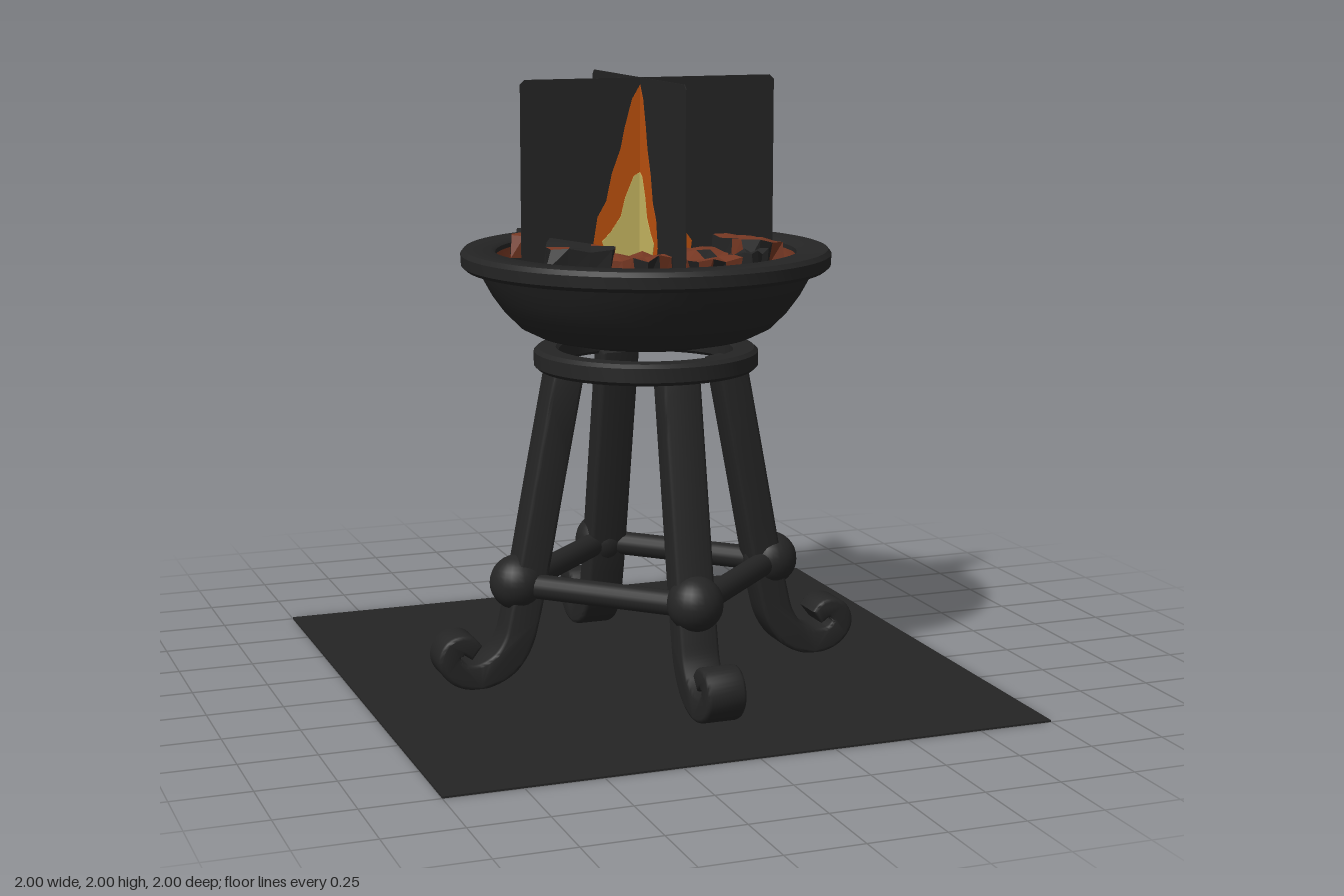
import * as THREE from 'three';
import { toCreasedNormals } from 'three/addons/utils/BufferGeometryUtils.js';

const mat = (name, color) => {
  const m = new THREE.MeshStandardMaterial({ color });
  m.name = name;
  return m;
};

export function createModel() {
  const model = new THREE.Group();
  model.name = 'brazier';
  const iron = mat('black iron', 0x252525);
  const ember = mat('ember brown', 0x773823);
  const orange = mat('flame orange', 0xbd510e);
  const yellow = mat('flame yellow', 0xc8b862);

  const add = (name, geometry, material, parent = model) => {
    const mesh = new THREE.Mesh(geometry, material);
    mesh.name = name;
    parent.add(mesh);
    return mesh;
  };
  const lathe = (pts) => toCreasedNormals(
    new THREE.LatheGeometry(pts.map(([x, y]) => new THREE.Vector2(x, y)), 64), 0.7);

  // Thin square ground plate
  add('basePlate', new THREE.BoxGeometry(2, 0.006, 2), iron).position.y = 0.003;

  // Bowl with thick rounded rim, and its glowing lining
  add('bowl', lathe([
    [0, 1.115], [0.15, 1.118], [0.27, 1.135], [0.36, 1.155], [0.42, 1.185], [0.47, 1.235],
    [0.51, 1.29], [0.54, 1.345], [0.555, 1.375], [0.595, 1.375], [0.61, 1.388], [0.612, 1.425],
    [0.6, 1.44], [0.51, 1.44], [0.497, 1.43], [0.495, 1.41],
  ]), iron);
  add('emberBed', lathe([
    [0.497, 1.425], [0.49, 1.38], [0.46, 1.32], [0.42, 1.29], [0.35, 1.28], [0, 1.28],
  ]), ember);

  // Support ring below the bowl
  add('supportRing', lathe([
    [0.3, 1.04], [0.36, 1.04], [0.373, 1.052], [0.373, 1.098], [0.36, 1.11],
    [0.3, 1.11], [0.29, 1.1], [0.29, 1.05], [0.3, 1.04],
  ]), iron);

  // Leg outline: a centre line (x, y, half thickness) ending in a scroll
  const line = [
    [0.285, 1.06, 0.053], [0.355, 0.7, 0.053], [0.418, 0.37, 0.053], [0.445, 0.24, 0.053],
    [0.472, 0.145, 0.052], [0.52, 0.08, 0.05], [0.6, 0.046, 0.045], [0.672, 0.06, 0.04],
    [0.706, 0.105, 0.038], [0.69, 0.147, 0.036], [0.648, 0.156, 0.034], [0.612, 0.128, 0.028],
  ];
  const curve = new THREE.CatmullRomCurve3(line.map((p) => new THREE.Vector3(...p)));
  const left = [], right = [];
  for (let i = 0; i <= 60; i++) {
    const p = curve.getPoint(i / 60), t = curve.getTangent(i / 60);
    const n = new THREE.Vector2(-t.y, t.x).normalize().multiplyScalar(p.z);
    left.push(new THREE.Vector2(p.x + n.x, p.y + n.y));
    right.unshift(new THREE.Vector2(p.x - n.x, p.y - n.y));
  }
  const bevel = 0.012;
  const legGeo = toCreasedNormals(new THREE.ExtrudeGeometry(new THREE.Shape([...left, ...right]), {
    depth: 0.13 - 2 * bevel, bevelEnabled: true, bevelSize: bevel, bevelThickness: bevel,
    bevelOffset: -bevel, bevelSegments: 2,
  }).translate(0, 0, bevel - 0.065), 0.8);
  const knotGeo = new THREE.SphereGeometry(0.092, 24, 16);
  const knotR = 0.455;
  const barGeo = new THREE.CylinderGeometry(0.041, 0.041, knotR * Math.SQRT2, 16);

  // Four legs, each with a knot and a diagonal bar to the next leg
  for (let i = 0; i < 4; i++) {
    const side = new THREE.Group();
    side.name = 'legAssembly';
    side.rotation.y = i * Math.PI / 2;
    model.add(side);
    add('leg', legGeo, iron, side);
    add('knot', knotGeo, iron, side).position.set(knotR, 0.342, 0);
    const bar = add('crossBar', barGeo, iron, side);
    bar.position.set(knotR / 2, 0.335, knotR / 2);
    bar.rotation.set(Math.PI / 2, 0, Math.PI / 4, 'YXZ');
    bar.rotation.set(0, 0, 0);
    bar.quaternion.setFromUnitVectors(new THREE.Vector3(0, 1, 0),
      new THREE.Vector3(-1, 0, 1).normalize());
  }

  // Flame: two crossed dark panels, painted on both sides
  const slab = (pts, depth) => new THREE.ExtrudeGeometry(
    new THREE.Shape(pts.map(([x, y]) => new THREE.Vector2(x, y))),
    { depth, bevelEnabled: false }).translate(0, 0, -depth / 2);
  const panelGeo = slab([
    [-0.42, 1.29], [0.42, 1.29], [0.44, 1.34], [0.44, 1.985], [0.425, 2],
    [-0.425, 2], [-0.44, 1.985], [-0.44, 1.34],
  ], 0.003);
  const orangeGeo = slab([
    [-0.1, 1.29], [0.08, 1.29], [0.14, 1.38], [0.15, 1.46], [0.12, 1.5], [0.11, 1.57], [0.085, 1.65],
    [0.06, 1.72], [0.04, 1.8], [0.015, 1.9], [-0.015, 1.965], [-0.03, 1.98], [-0.06, 1.93],
    [-0.085, 1.84], [-0.1, 1.77], [-0.13, 1.69], [-0.15, 1.6], [-0.18, 1.55], [-0.195, 1.46], [-0.17, 1.37],
  ], 0.006);
  const yellowGeo = slab([
    [-0.06, 1.3], [0.02, 1.3], [0.07, 1.37], [0.11, 1.43], [0.1, 1.48], [0.065, 1.53], [0.045, 1.6],
    [0.02, 1.66], [-0.02, 1.7], [-0.055, 1.68], [-0.085, 1.61], [-0.1, 1.55], [-0.135, 1.5],
    [-0.165, 1.47], [-0.15, 1.42], [-0.1, 1.36],
  ], 0.0095);
  for (let i = 0; i < 2; i++) {
    const flame = new THREE.Group();
    flame.name = 'flamePanel';
    flame.rotation.y = i * Math.PI / 2;
    flame.position.set(i ? -0.03 : 0, 0, i ? 0 : 0.03);
    model.add(flame);
    add('panel', panelGeo, iron, flame);
    add('outerFlame', orangeGeo, orange, flame);
    add('innerFlame', yellowGeo, yellow, flame);
  }

  // Coals: dented blocks, each face patch either glowing or charred
  let seed = 7;
  const rand = () => (seed = (seed * 16807) % 2147483647) / 2147483647;
  const coal = (w, h, d, glow) => {
    const box = new THREE.BoxGeometry(w, h, d, 3, 2, 3);
    const pos = box.attributes.position, moved = new Map();
    for (let i = 0; i < pos.count; i++) {
      const p = new THREE.Vector3().fromBufferAttribute(pos, i);
      const key = p.toArray().map((v) => Math.round(v * 1000)).join();
      if (!moved.has(key)) moved.set(key, [0, 0, 0].map(() => 0.82 + rand() * 0.26));
      const k = moved.get(key);
      pos.setXYZ(i, p.x * k[0], p.y * k[1], p.z * k[2]);
    }
    const geo = box.toNonIndexed();
    geo.computeVertexNormals();
    geo.clearGroups();
    for (let i = 0; i < geo.attributes.position.count; i += 6) {
      const up = geo.attributes.normal.getY(i) > 0.6;
      geo.addGroup(i, 6, rand() < (up ? glow : glow * 0.5) ? 0 : 1);
    }
    return geo;
  };
  // x, z, width, depth, turn, share of glowing faces, centre height
  [
    [-0.13, -0.32, 0.2, 0.2, 0.45, 0.7, 1.4], [0.11, -0.25, 0.16, 0.29, 0.05, 0.95, 1.38],
    [0.3, -0.19, 0.19, 0.22, -0.25, 0.9, 1.4], [0.31, 0.12, 0.16, 0.24, 0.1, 0.9, 1.39],
    [0.11, 0.28, 0.15, 0.24, -0.05, 0.95, 1.37], [-0.1, 0.27, 0.17, 0.18, 0.5, 0.85, 1.37],
    [-0.3, 0.18, 0.22, 0.17, -0.3, 0.5, 1.4], [-0.28, -0.08, 0.13, 0.22, 0.1, 0.45, 1.4],
    [-0.33, -0.19, 0.15, 0.17, -0.4, 0.45, 1.4], [0.24, 0.32, 0.1, 0.1, 0.6, 0, 1.37],
  ].forEach(([x, z, w, d, turn, glow, y]) => {
    const c = add('coal', coal(w, 0.17, d, glow), [ember, iron]);
    c.position.set(x, y, z);
    c.rotation.set(0.1 * Math.sin(x * 20), turn, 0.1 * Math.cos(z * 20));
  });

  return model;
}
